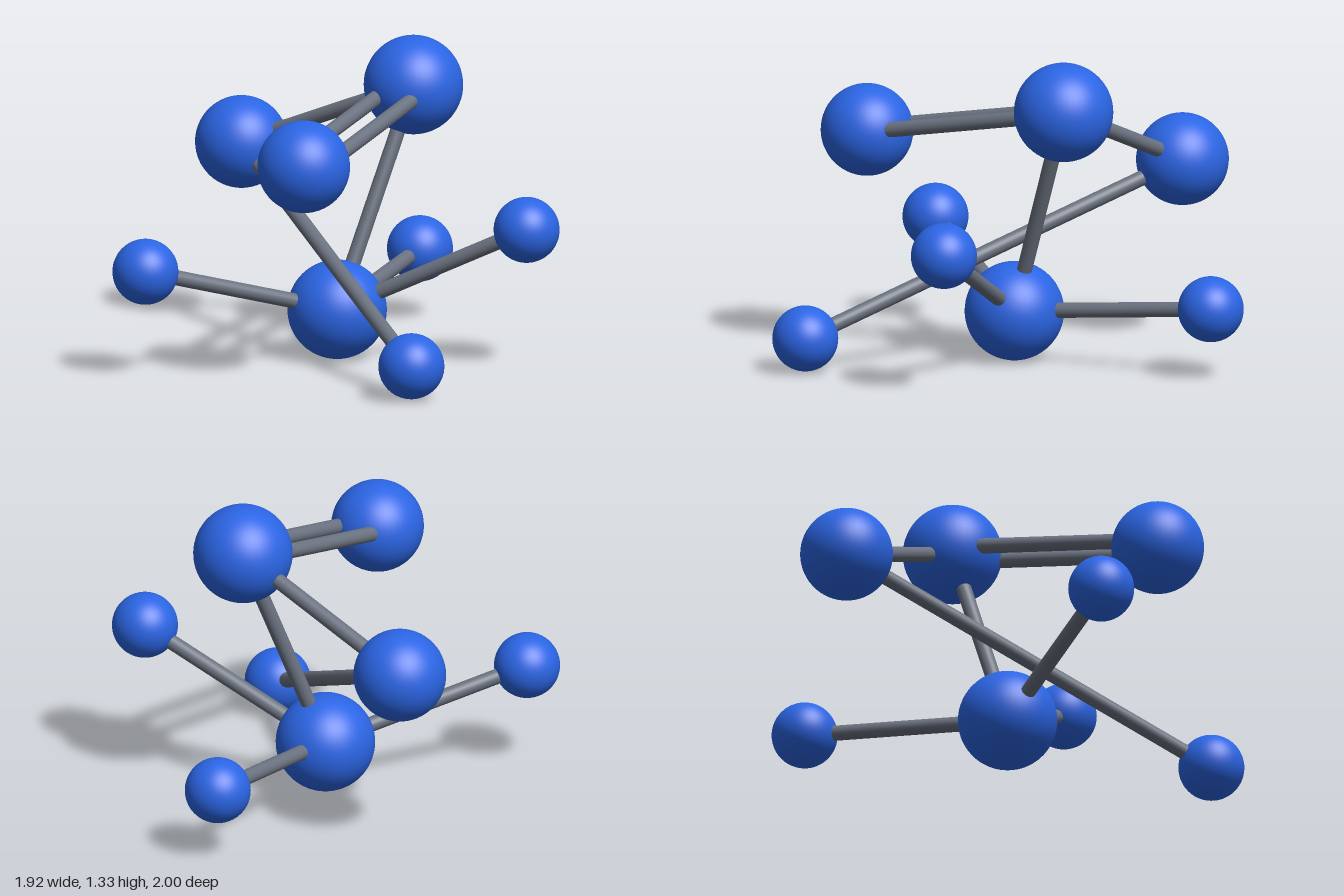
import * as THREE from 'three';

export function createModel() {
  const group = new THREE.Group();
  const blue = new THREE.MeshStandardMaterial({ name: 'blue', color: 0x2b65e4 });
  const grey = new THREE.MeshStandardMaterial({ name: 'grey', color: 0x6b7280 });

  // Atom centres and radii
  const LARGE = 0.208, MEDIUM = 0.194, SMALL = 0.138;
  const atoms = {
    lowerHub: [0.05, 0.21, -0.018, LARGE],
    upperHub: [0.44, 1.122, -0.018, LARGE],
    doubleBondAtom: [-0.424, 0.947, 0.412, MEDIUM],
    bridgeAtom: [0.115, 0.785, -0.804, MEDIUM],
    leftEndAtom: [0.818, 0.296, -0.507, SMALL],
    rightEndAtom: [-0.822, 0.448, -0.171, SMALL],
    frontEndAtom: [0.554, 0.6, 0.641, SMALL],
    bridgeEndAtom: [-0.19, 0.144, 0.861, SMALL],
  };
  const centre = (name) => new THREE.Vector3(...atoms[name].slice(0, 3));

  for (const [name, [x, y, z, r]] of Object.entries(atoms)) {
    const ball = new THREE.Mesh(new THREE.SphereGeometry(r, 48, 32), blue);
    ball.name = name;
    ball.position.set(x, y, z);
    group.add(ball);
  }

  // Round rod between two atoms, optionally shifted sideways
  const up = new THREE.Vector3(0, 1, 0);
  function addBond(from, to, shift = 0) {
    const a = centre(from), b = centre(to);
    const dir = b.clone().sub(a);
    const rod = new THREE.Mesh(new THREE.CylinderGeometry(0.032, 0.032, dir.length(), 24), grey);
    const side = new THREE.Vector3().crossVectors(dir, up).normalize();
    rod.position.copy(a).add(b).multiplyScalar(0.5).addScaledVector(side, shift);
    rod.quaternion.setFromUnitVectors(up, dir.normalize());
    rod.name = 'bond';
    group.add(rod);
  }

  addBond('lowerHub', 'upperHub');
  addBond('upperHub', 'bridgeAtom');
  addBond('bridgeAtom', 'bridgeEndAtom');
  for (const end of ['leftEndAtom', 'rightEndAtom', 'frontEndAtom']) addBond('lowerHub', end);

  // Double bond: two parallel rods
  for (const s of [-1, 1]) addBond('upperHub', 'doubleBondAtom', s * 0.081);

  return group;
}
